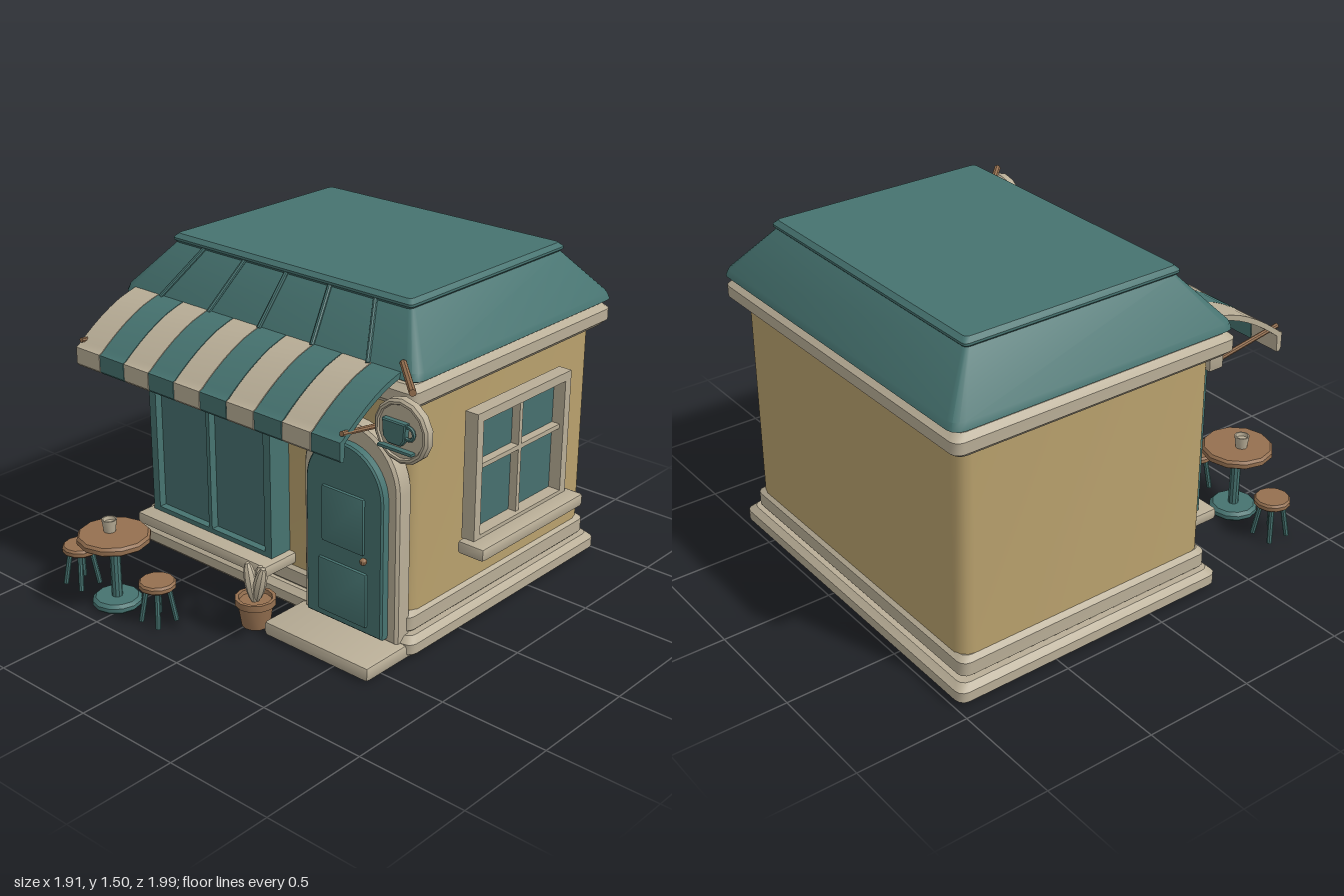
import * as THREE from 'three';
import { toCreasedNormals } from 'three/addons/utils/BufferGeometryUtils.js';
import { RoundedBoxGeometry } from 'three/addons/geometries/RoundedBoxGeometry.js';

const mat = (name, color) => {
  const m = new THREE.MeshStandardMaterial({ color });
  m.name = name;
  return m;
};

export function createModel() {
  const teal = mat('teal paint', 0x467370);
  const glass = mat('glass', 0x46706f);
  const cream = mat('cream trim', 0xb9ae97);
  const sand = mat('sand wall', 0xb9a16d);
  const wood = mat('warm wood', 0x957050);
  const root = new THREE.Group();
  root.name = 'cafe';

  const add = (name, geo, material, x = 0, y = 0, z = 0, parent = root) => {
    const m = new THREE.Mesh(toCreasedNormals(geo, 0.55), material);
    m.name = name;
    m.position.set(x, y, z);
    parent.add(m);
    return m;
  };
  const group = (name, x, y, z) => {
    const g = new THREE.Group();
    g.name = name;
    g.position.set(x, y, z);
    root.add(g);
    return g;
  };
  // box given by its limits, with softened edges
  const box = (name, material, x0, x1, y0, y1, z0, z1, r = 0.008, parent = root) =>
    add(name, r ? new RoundedBoxGeometry(x1 - x0, y1 - y0, z1 - z0, 1, r) : new THREE.BoxGeometry(x1 - x0, y1 - y0, z1 - z0),
      material, (x0 + x1) / 2, (y0 + y1) / 2, (z0 + z1) / 2, parent);
  // rod between two points
  const rod = (name, material, a, b, r, parent = root, r2 = r) => {
    const p = new THREE.Vector3(...a), q = new THREE.Vector3(...b);
    const m = add(name, new THREE.CylinderGeometry(r2, r, p.distanceTo(q), 8), material, 0, 0, 0, parent);
    m.position.copy(p).lerp(q, 0.5);
    m.quaternion.setFromUnitVectors(new THREE.Vector3(0, 1, 0), q.sub(p).normalize());
    return m;
  };
  const lathe = (pts, n) => new THREE.LatheGeometry(pts.map(p => new THREE.Vector2(...p)), n);
  const extrude = (shape, depth, bevel = 0) => new THREE.ExtrudeGeometry(shape, {
    depth: depth - bevel, curveSegments: 10, bevelEnabled: bevel > 0, bevelSize: bevel, bevelThickness: bevel, bevelOffset: -bevel, bevelSegments: 1,
  });
  const rect = (x0, x1, y0, y1, T = THREE.Shape) =>
    new T([[x0, y0], [x1, y0], [x1, y1], [x0, y1]].map(p => new THREE.Vector2(...p)));

  // loft through rounded rectangles: each level is [y, x0, x1, z0, z1, corner radius]
  const loft = (levels, seg = 3) => {
    const pos = [], idx = [], n = 4 * (seg + 1);
    for (const [y, x0, x1, z0, z1, r] of levels)
      for (let c = 0; c < 4; c++)
        for (let s = 0; s <= seg; s++) {
          const a = (c + s / seg) * Math.PI / 2;
          const cx = c === 0 || c === 3 ? x1 - r : x0 + r, cz = c < 2 ? z0 + r : z1 - r;
          pos.push(cx + r * Math.cos(a), y, cz - r * Math.sin(a));
        }
    for (let i = 0; i < levels.length - 1; i++)
      for (let j = 0; j < n; j++) {
        const a = i * n + j, b = i * n + (j + 1) % n;
        idx.push(a, b, b + n, a, b + n, a + n);
      }
    const top = (levels.length - 1) * n;
    for (let j = 1; j < n - 1; j++) idx.push(top, top + j, top + j + 1, 0, j + 1, j);
    const g = new THREE.BufferGeometry();
    g.setAttribute('position', new THREE.Float32BufferAttribute(pos, 3));
    g.setIndex(idx);
    g.computeVertexNormals();
    return g;
  };
  // bevelled slab with rounded corners
  const slab = (y0, y1, x0, x1, z0, z1, r, b) => loft([
    [y0, x0 + b, x1 - b, z0 + b, z1 - b, r], [y0 + b, x0, x1, z0, z1, r],
    [y1 - b, x0, x1, z0, z1, r], [y1, x0 + b, x1 - b, z0 + b, z1 - b, r]]);

  // building shell
  add('lowerPlinth', slab(0, 0.095, -0.95, 0.715, -0.99, 0.355, 0.04, 0.025), cream);
  add('upperPlinth', slab(0.09, 0.19, -0.91, 0.675, -0.95, 0.325, 0.04, 0.02), cream);
  add('walls', loft([[0.15, -0.89, 0.66, -0.935, 0.31, 0.06], [1.15, -0.89, 0.66, -0.935, 0.31, 0.06]]), sand);
  add('cornice', slab(1.12, 1.22, -0.955, 0.72, -0.995, 0.375, 0.04, 0.025), cream);
  add('corniceCap', slab(1.2, 1.245, -0.91, 0.68, -0.95, 0.33, 0.04, 0.005), cream);

  // roof
  add('roof', loft([[1.232, -0.94, 0.71, -0.985, 0.35, 0.04], [1.24, -0.955, 0.725, -1, 0.365, 0.05],
    [1.27, -0.945, 0.715, -0.99, 0.355, 0.05], [1.46, -0.785, 0.555, -0.825, 0.19, 0.02]]), teal);
  add('roofCap', slab(1.452, 1.498, -0.795, 0.565, -0.835, 0.205, 0.02, 0.018), teal);
  for (let i = -2; i <= 2; i++)
    rod('roofRib', teal, [-0.115 + i * 0.243, 1.465, 0.195], [-0.115 + i * 0.297, 1.265, 0.365], 0.01);

  // striped awning
  const outer = new THREE.CatmullRomCurve3([[0.34, 1.272], [0.45, 1.24], [0.56, 1.185], [0.65, 1.125], [0.695, 1.09]]
    .map(([z, y]) => new THREE.Vector3(z, y, 0))).getPoints(8);
  const profile = new THREE.Shape([
    ...outer.map(p => new THREE.Vector2(p.x, p.y)), new THREE.Vector2(0.708, 1.085), new THREE.Vector2(0.708, 1.01),
    new THREE.Vector2(0.7, 1), new THREE.Vector2(0.685, 1), new THREE.Vector2(0.68, 1.075),
    ...outer.slice(0, -1).reverse().map(p => new THREE.Vector2(p.x - 0.008, p.y - 0.022))]);
  const w = 0.1525;
  for (let i = 0; i < 10; i++) {
    const g = extrude(profile, w - 0.004).rotateY(-Math.PI / 2);
    add('awningStripe', g, i % 2 ? teal : cream, -0.882 + (i + 1) * w - 0.002);
  }
  for (const x of [-0.865, 0.632]) {
    rod('awningArm', wood, [x, 1.06, 0.35], [x, 1.115, 0.69], 0.011);
    box('armPlate', cream, x - 0.02, x + 0.02, 1.03, 1.16, 0.3, 0.375);
  }

  // front display window
  const frame = rect(-0.745, -0.005, 0.245, 0.985);
  frame.holes.push(rect(-0.705, -0.388, 0.275, 0.945, THREE.Path), rect(-0.368, -0.045, 0.275, 0.945, THREE.Path));
  add('frontWindowFrame', extrude(frame, 0.115), teal, 0, 0, 0.31);
  box('frontWindowGlass', glass, -0.73, -0.02, 0.26, 0.97, 0.375, 0.39, 0);
  box('frontWindowSill', cream, -0.78, 0.03, 0.197, 0.253, 0.3, 0.5, 0.015);

  // arched door
  const arch = (cx, hw, y0, yc, ry) => {
    const s = new THREE.Shape();
    s.moveTo(cx - hw, y0);
    s.lineTo(cx + hw, y0);
    s.lineTo(cx + hw, yc);
    s.absellipse(cx, yc, hw, ry, 0, Math.PI, false);
    s.closePath();
    return s;
  };
  add('doorSurround', extrude(arch(0.402, 0.257, 0.06, 0.74, 0.255), 0.075, 0.012), cream, 0, 0, 0.305);
  add('door', extrude(arch(0.402, 0.208, 0.085, 0.705, 0.21), 0.11, 0.008), teal, 0, 0, 0.31);
  box('doorUpperPanel', teal, 0.29, 0.517, 0.45, 0.705, 0.41, 0.433);
  box('doorLowerPanel', teal, 0.27, 0.533, 0.12, 0.37, 0.41, 0.433);
  add('doorKnob', new THREE.SphereGeometry(0.016, 10, 8), wood, 0.532, 0.438, 0.445);
  box('doorStep', cream, 0.11, 0.69, 0, 0.068, 0.3, 0.6, 0.018);

  // side window
  const side = group('sideWindow', 0, 0, 0);
  const sf = rect(-0.638, 0.015, 0.44, 1.015);
  sf.holes.push(rect(-0.598, -0.025, 0.46, 0.975, THREE.Path));
  add('sideWindowFrame', extrude(sf, 0.065).rotateY(-Math.PI / 2), cream, 0.765, 0, 0, side);
  box('sideWindowGlass', glass, 0.694, 0.706, 0.45, 0.985, -0.61, -0.015, 0, side);
  box('verticalMuntin', cream, 0.704, 0.745, 0.455, 0.98, -0.322, -0.301, 0, side);
  box('horizontalMuntin', cream, 0.704, 0.745, 0.75, 0.771, -0.6, -0.02, 0, side);
  box('sideWindowSill', cream, 0.703, 0.84, 0.382, 0.443, -0.675, 0.05, 0.015, side);

  // hanging sign with a cup emblem
  const sign = group('cupSign', 0.822, 1.14, 0.553);
  const disc = lathe([[0, -0.024], [0.12, -0.024], [0.132, -0.014], [0.132, 0.016], [0.122, 0.025], [0.112, 0.025], [0.108, 0.017], [0, 0.017]], 14);
  add('signDisc', disc.rotateX(Math.PI / 2), cream, 0, 0, 0, sign);
  const cup = new THREE.Shape([[-0.045, -0.05], [0.015, -0.05], [0.035, -0.025], [0.04, 0.045], [-0.075, 0.045], [-0.07, -0.025]]
    .map(p => new THREE.Vector2(...p)));
  add('signCup', extrude(cup, 0.028, 0.005), teal, 0, 0, 0.015, sign);
  add('signCupHandle', new THREE.TorusGeometry(0.026, 0.008, 6, 12), teal, 0.046, 0.008, 0.028, sign);
  box('signSaucer', teal, -0.1, 0.07, -0.08, -0.066, 0.01, 0.04, 0.005, sign);
  rod('signPole', wood, [0.635, 1.297, 0.335], [0.855, 1.297, 0.545], 0.015);

  // bistro table with a cup
  const table = group('table', -0.557, 0, 0.83);
  add('tableTop', lathe([[0, 0.305], [0.148, 0.305], [0.162, 0.315], [0.162, 0.335], [0.152, 0.347], [0, 0.347]], 12), wood, 0, 0, 0, table);
  add('tablePost', new THREE.CylinderGeometry(0.024, 0.024, 0.28, 10), teal, 0, 0.17, 0, table);
  add('tableBase', lathe([[0, 0], [0.1, 0], [0.11, 0.01], [0.11, 0.028], [0.095, 0.042], [0, 0.042]], 12), teal, 0, 0, 0, table);
  add('cup', lathe([[0, 0], [0.026, 0], [0.034, 0.058], [0.028, 0.058], [0.024, 0.042], [0, 0.042]], 12), cream, -0.025, 0.346, 0, table);

  // stools
  for (const x of [-0.807, -0.306]) {
    const stool = group('stool', x, 0, 0.816);
    add('stoolSeat', lathe([[0, 0.165], [0.073, 0.165], [0.082, 0.173], [0.082, 0.19], [0.074, 0.2], [0, 0.2]], 12), wood, 0, 0, 0, stool);
    for (let i = 0; i < 4; i++) {
      const a = Math.PI / 4 + i * Math.PI / 2, c = Math.cos(a), s = Math.sin(a);
      rod('stoolLeg', teal, [c * 0.075, 0.004, s * 0.075], [c * 0.046, 0.17, s * 0.046], 0.012, stool);
    }
  }

  // potted plant
  const plant = group('pottedPlant', 0.02, 0, 0.553);
  add('pot', lathe([[0, 0], [0.062, 0], [0.077, 0.098], [0.09, 0.102], [0.09, 0.132], [0.074, 0.132], [0.07, 0.115], [0, 0.115]], 12), wood, 0, 0, 0, plant);
  for (const [x, z, tilt, h] of [[-0.015, 0.01, 0.22, 0.095], [0.028, 0, -0.25, 0.092], [0.005, -0.025, -0.03, 0.075]]) {
    const leaf = add('leaf', new THREE.SphereGeometry(1, 8, 8).scale(0.027, h, 0.03), cream, x, 0.2, z, plant);
    leaf.rotation.z = tilt;
  }
  return root;
}
